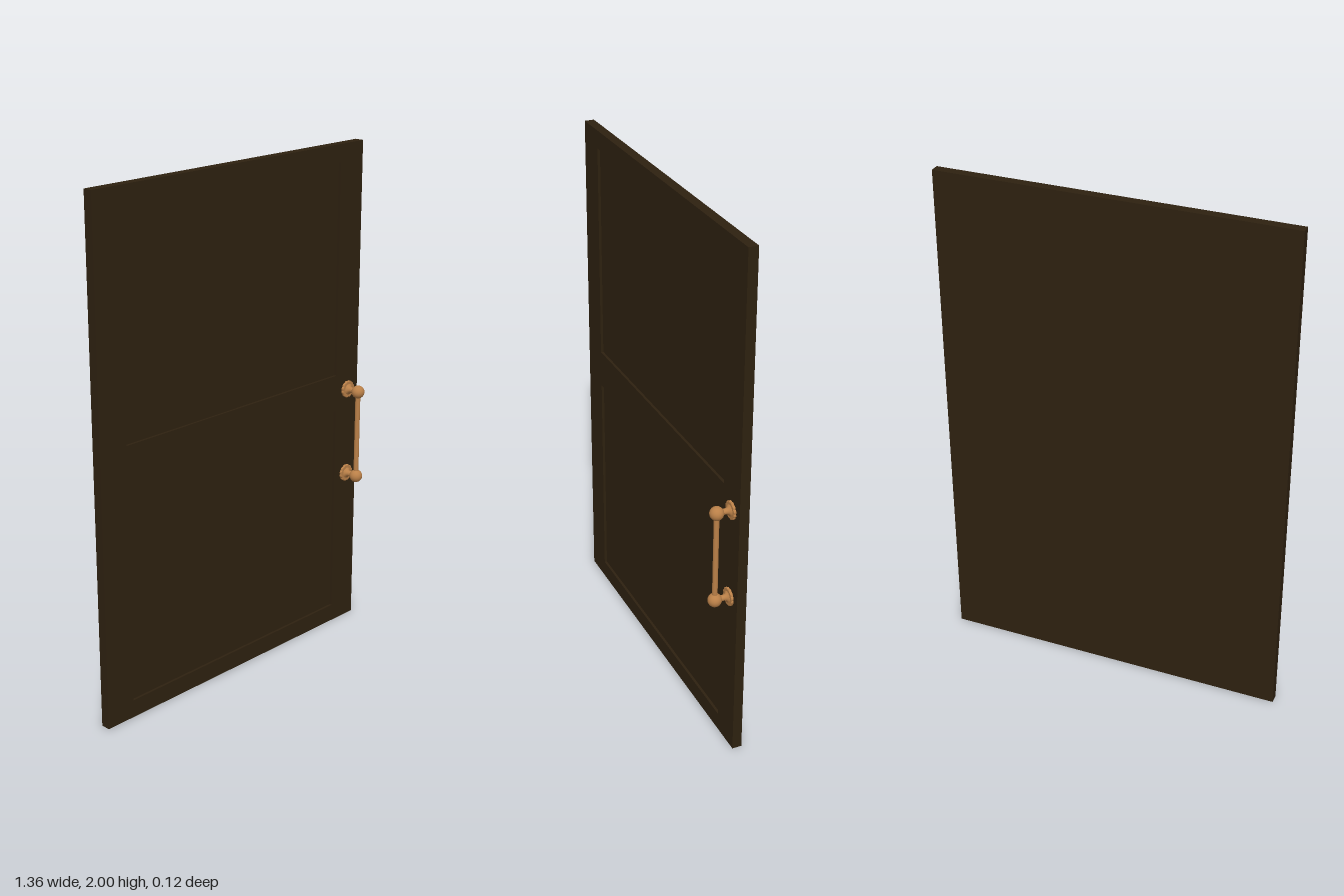
import * as THREE from 'three';

const wood = new THREE.MeshStandardMaterial({ color: 0x2e2110 });
wood.name = 'dark wood';
const brass = new THREE.MeshStandardMaterial({ color: 0xba8048 });
brass.name = 'warm brass';

function add(parent, name, geometry, material, x = 0, y = 0, z = 0) {
  const mesh = new THREE.Mesh(geometry, material);
  mesh.name = name;
  mesh.position.set(x, y, z);
  parent.add(mesh);
  return mesh;
}

function rectangle(path, x0, y0, x1, y1) {
  path.moveTo(x0, y0);
  path.lineTo(x1, y0);
  path.lineTo(x1, y1);
  path.lineTo(x0, y1);
  path.closePath();
  return path;
}

// Scalloped disc outline for the mounting plates
function scallop(radius, depth, lobes) {
  const points = [];
  const count = lobes * 6;
  for (let i = 0; i < count; i++) {
    const a = (i / count) * Math.PI * 2;
    const r = radius - depth * (1 - Math.abs(Math.sin((a * lobes) / 2)));
    points.push(new THREE.Vector2(Math.cos(a) * r, Math.sin(a) * r));
  }
  return new THREE.Shape(points);
}

export function createModel() {
  const model = new THREE.Group();
  model.name = 'door';

  // Door leaf: a back slab and a front frame with two recessed panels
  const leaf = new THREE.Group();
  leaf.name = 'doorLeaf';
  model.add(leaf);
  add(leaf, 'backSlab', new THREE.BoxGeometry(1.364, 2, 0.027), wood, 0, 1, -0.0475);

  const frame = rectangle(new THREE.Shape(), -0.682, 0, 0.682, 2);
  for (const [low, high] of [[0.07, 0.93], [1.08, 1.93]]) {
    frame.holes.push(rectangle(new THREE.Path(), -0.558, low, 0.555, high));
  }
  add(leaf, 'panelFrame',
    new THREE.ExtrudeGeometry(frame, { depth: 0.01, bevelEnabled: false }),
    wood, 0, 0, -0.034);

  // Pull handle
  const handle = new THREE.Group();
  handle.name = 'handle';
  handle.position.x = 0.622;
  model.add(handle);

  const plate = new THREE.ExtrudeGeometry(scallop(0.033, 0.003, 12), {
    depth: 0.005, bevelThickness: 0.003, bevelSize: 0.002, bevelSegments: 2,
  });
  const stemProfile = [[0.023, -0.018], [0.021, -0.013], [0.013, -0.009], [0.011, 0], [0.011, 0.03]]
    .map(([r, z]) => new THREE.Vector2(r, z));
  const stem = new THREE.LatheGeometry(stemProfile, 24).rotateX(Math.PI / 2);
  const ball = new THREE.SphereGeometry(0.026, 24, 16);

  // The same mount at each end of the bar
  for (const [name, y] of [['upper', 1.01], ['lower', 0.65]]) {
    add(handle, name + 'MountPlate', plate, brass, 0, y, -0.023);
    add(handle, name + 'Stem', stem, brass, 0, y, 0);
    add(handle, name + 'Ball', ball, brass, 0, y, 0.034);
  }
  add(handle, 'gripBar', new THREE.CylinderGeometry(0.01, 0.01, 0.36, 20), brass, 0, 0.83, 0.034);

  return model;
}
